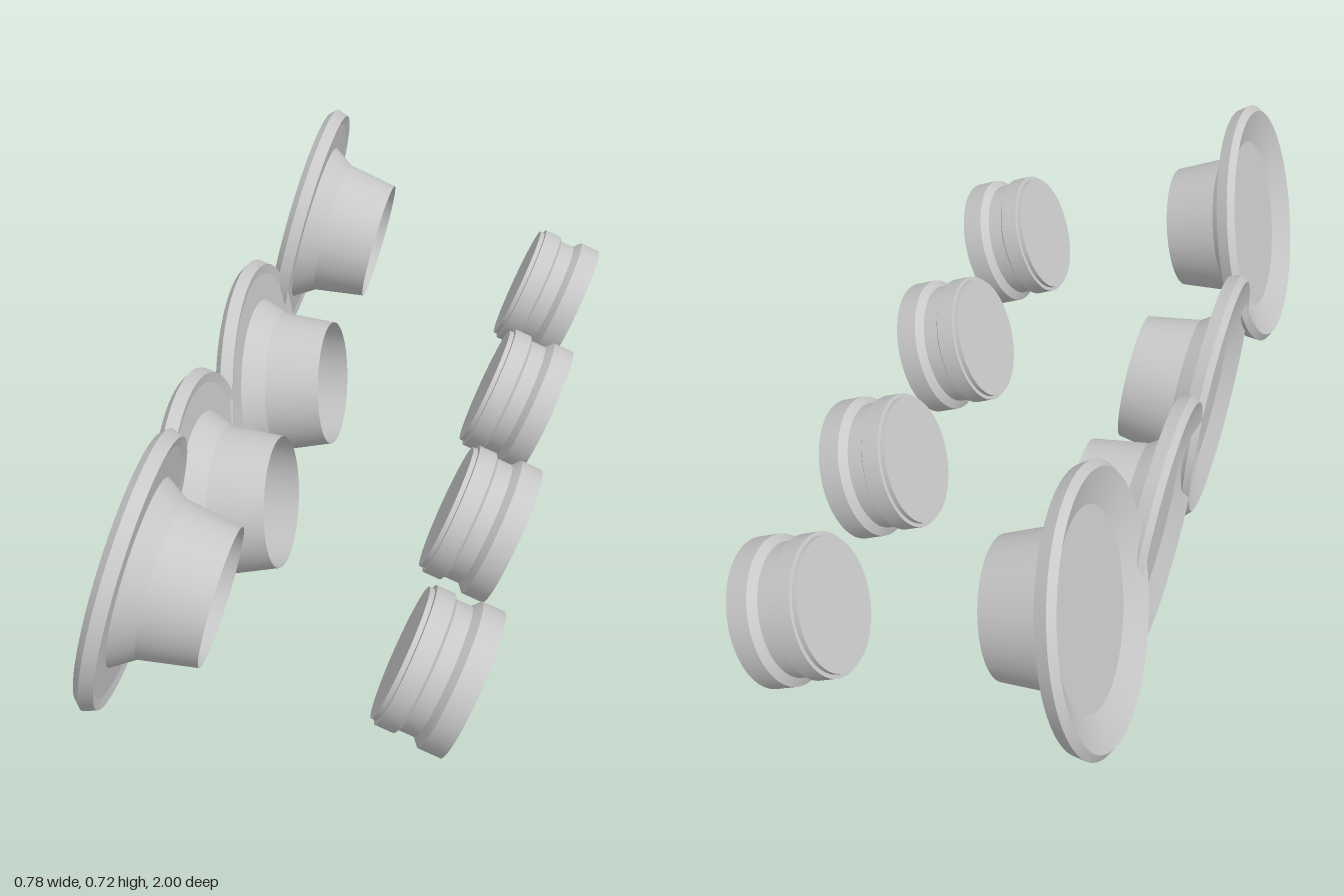
import * as THREE from 'three';
import { mergeGeometries } from 'three/addons/utils/BufferGeometryUtils.js';

const SEGMENTS = 64;

// Turned surface about the x axis; points are [radius, distance along axis]
function turned(points) {
  const g = new THREE.LatheGeometry(points.map(([r, t]) => new THREE.Vector2(r, t)), SEGMENTS);
  return g.rotateZ(-Math.PI / 2);
}

// Same, with a sharp edge at every profile point
function turnedSharp(points) {
  return mergeGeometries(points.slice(1).map((p, i) => turned([points[i], p])));
}

export function createModel() {
  const model = new THREE.Group();
  const grey = new THREE.MeshStandardMaterial({ color: 0xc8c8c8, side: THREE.DoubleSide });
  grey.name = 'lightGrey';

  // Dished disc: closed centre, sloping back ring, bevelled edge, recessed front
  const flangeGeometry = turnedSharp([
    [0, -0.168], [0.193, -0.168], [0.263, -0.197], [0.277, -0.183],
    [0.268, -0.157], [0.247, -0.162], [0.187, -0.162],
  ]);
  // Flared, open-ended thin sleeve
  const sleeveGeometry = mergeGeometries([
    turned([[0.187, -0.162], [0.157, -0.116]]),
    turned([[0.157, -0.116], [0.138, 0]]),
  ]);
  // Solid plug with a groove and a stepped inner end
  const plugGeometry = turnedSharp([
    [0, -0.148], [0.134, -0.148], [0.134, -0.138], [0.142, -0.137], [0.142, -0.099],
    [0.133, -0.093], [0.133, -0.06], [0.149, -0.046], [0.149, 0], [0, 0],
  ]);

  function addPart(parent, name, geometry) {
    const mesh = new THREE.Mesh(geometry, grey);
    mesh.name = name;
    parent.add(mesh);
    return mesh;
  }

  // Sleeve rim centre, tilt and spacing for the outer and inner pairs
  const pairs = [
    { name: 'outer', x: -0.145, y: 0.41, tilt: -12.3, z: 0.723 },
    { name: 'inner', x: -0.151, y: 0.296, tilt: 5.4, z: 0.241 },
  ];
  for (const p of pairs) {
    for (const side of [1, -1]) {
      const cup = new THREE.Group();
      cup.name = p.name + 'FlangedCup';
      cup.position.set(p.x, p.y, p.z * side);
      cup.rotation.z = THREE.MathUtils.degToRad(p.tilt);
      addPart(cup, 'flange', flangeGeometry);
      addPart(cup, 'sleeve', sleeveGeometry);
      model.add(cup);

      const plug = addPart(model, p.name + 'Plug', plugGeometry);
      plug.position.set(0.335, 0.281, p.z * side);
      plug.rotation.z = THREE.MathUtils.degToRad(-21.6);
    }
  }
  return model;
}
